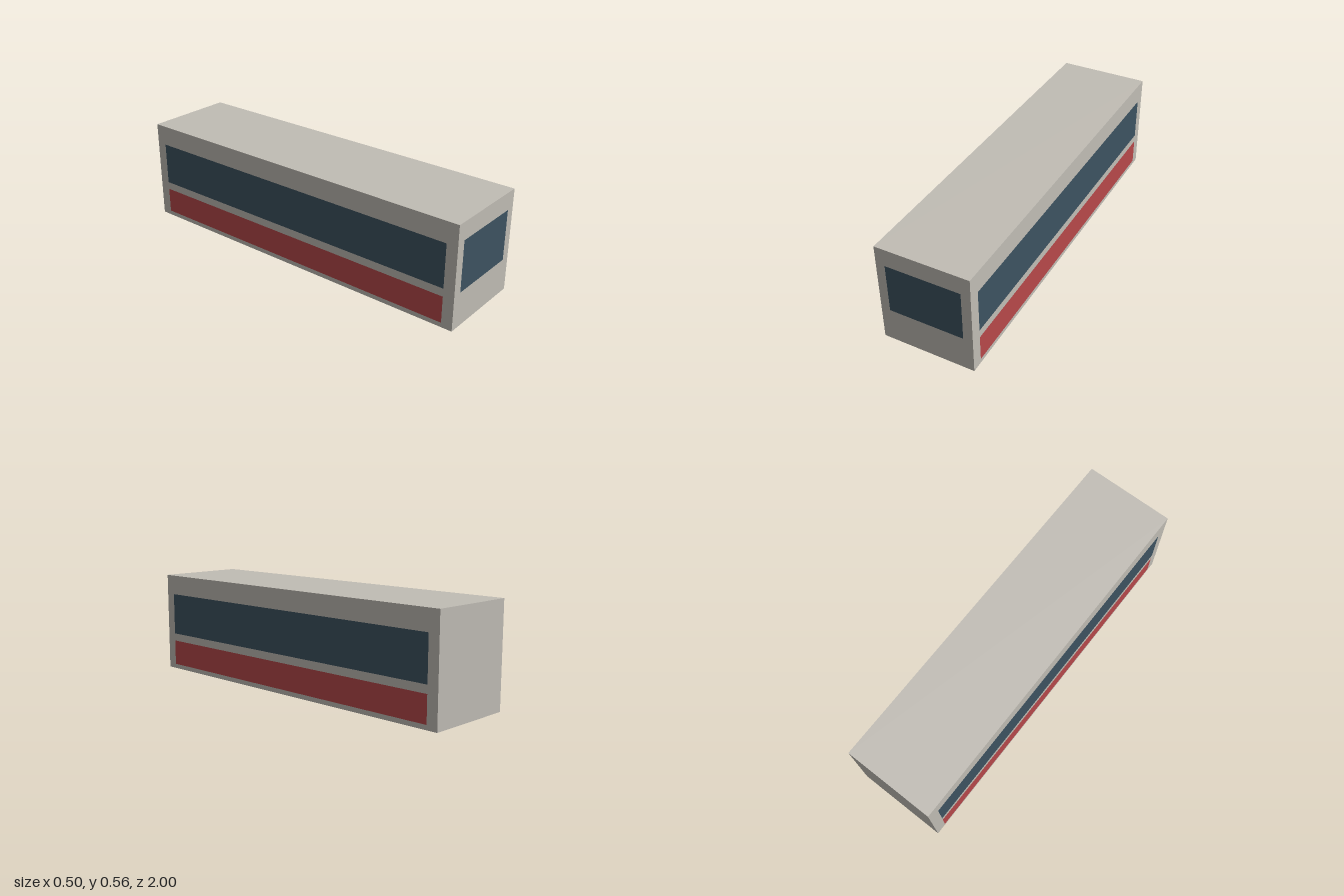
import * as THREE from 'three';

const WIDTH = 0.5, HEIGHT = 0.555, LENGTH = 1.998, GAP = 0.0012;

const shellPaint = new THREE.MeshStandardMaterial({ color: 0xc1bdb5, side: THREE.DoubleSide });
shellPaint.name = 'warm grey';
const glass = new THREE.MeshStandardMaterial({ color: 0x3d5361 });
glass.name = 'dark blue glass';
const stripePaint = new THREE.MeshStandardMaterial({ color: 0xb7484a });
stripePaint.name = 'red';

// Flat panel facing +z, spanning y0 to y1
function panel(name, width, y0, y1, material) {
  const mesh = new THREE.Mesh(new THREE.PlaneGeometry(width, y1 - y0), material);
  mesh.name = name;
  mesh.position.y = (y0 + y1) / 2;
  return mesh;
}

export function createModel() {
  const group = new THREE.Group();
  group.name = 'carriage';

  // Hollow body: a box without its bottom face
  const box = new THREE.BoxGeometry(WIDTH, HEIGHT, LENGTH);
  const faces = Array.from(box.index.array);
  faces.splice(18, 6);
  box.setIndex(faces);
  box.clearGroups();
  const body = new THREE.Mesh(box, shellPaint);
  body.name = 'body';
  body.position.y = HEIGHT / 2;
  group.add(body);

  // Windscreen on the front end only
  const windscreen = panel('windscreen', 0.4, 0.188, 0.46, glass);
  windscreen.position.z = LENGTH / 2 + GAP;
  group.add(windscreen);

  // Window band and lower stripe on both sides
  for (const [side, label] of [[1, 'left'], [-1, 'right']]) {
    const band = panel(label + 'Windows', 1.88, 0.21, 0.445, glass);
    const stripe = panel(label + 'Stripe', 1.88, 0.025, 0.167, stripePaint);
    for (const mesh of [band, stripe]) {
      mesh.position.x = side * (WIDTH / 2 + GAP);
      mesh.rotation.y = side * Math.PI / 2;
      group.add(mesh);
    }
  }
  return group;
}
